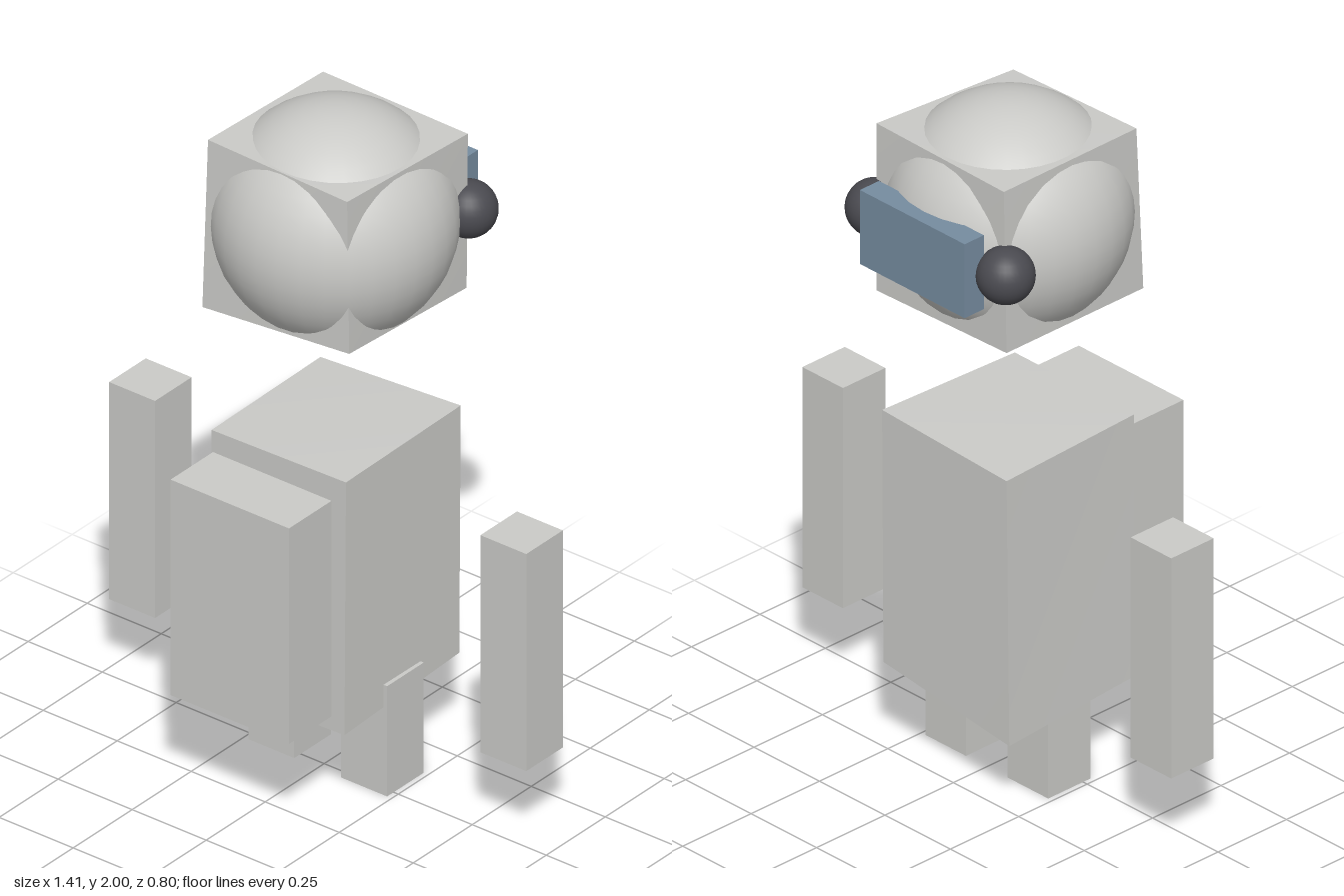
import * as THREE from 'three';

export function createModel() {
  const model = new THREE.Group();
  const material = (name, color) => {
    const m = new THREE.MeshStandardMaterial({ color });
    m.name = name;
    return m;
  };
  const grey = material('lightGrey', 0xcacac7);
  const blue = material('slateBlue', 0x768ca0);
  const dark = material('charcoal', 0x4a4a50);

  const add = (name, geometry, mat, x = 0, y = 0, z = 0) => {
    const mesh = new THREE.Mesh(geometry, mat);
    mesh.name = name;
    mesh.position.set(x, y, z);
    model.add(mesh);
    return mesh;
  };

  // Box given by its lower and upper limits
  const block = (name, mat, [x0, y0, z0], [x1, y1, z1]) =>
    add(name, new THREE.BoxGeometry(x1 - x0, y1 - y0, z1 - z0), mat,
      (x0 + x1) / 2, (y0 + y1) / 2, (z0 + z1) / 2);

  // Slightly crooked box: eight corners keyed front/back, top/bottom, left/right of the page
  const crookedBox = (name, mat, corners) => {
    const g = new THREE.BoxGeometry(1, 1, 1);
    const p = g.attributes.position;
    for (let i = 0; i < p.count; i++) {
      const key = (p.getZ(i) > 0 ? 'F' : 'B') + (p.getY(i) > 0 ? 'T' : 'B') + (p.getX(i) > 0 ? 'R' : 'L');
      p.setXYZ(i, ...corners[key]);
    }
    g.computeVertexNormals();
    return add(name, g, mat);
  };

  // Head: a ball bulging through a crooked cube
  add('headBall', new THREE.SphereGeometry(0.333, 32, 24), grey, 0, 1.667, -0.045);
  crookedBox('headCube', grey, {
    FTL: [-0.245, 1.92, 0.185], FTR: [0.225, 1.905, 0.185],
    BTL: [-0.235, 1.91, -0.29], BTR: [0.262, 1.91, -0.28],
    FBL: [-0.24, 1.42, 0.215], FBR: [0.228, 1.435, 0.18],
    BBL: [-0.24, 1.42, -0.285], BBR: [0.242, 1.418, -0.3],
  });

  // Headgear behind the head
  block('headPack', blue, [-0.2, 1.555, -0.4], [0.2, 1.78, -0.33]);

  // Torso and chest plate
  crookedBox('torso', grey, {
    FTL: [-0.225, 1.037, 0.195], FTR: [0.225, 1.042, 0.19],
    BTL: [-0.24, 1.03, -0.285], BTR: [0.23, 1.055, -0.29],
    FBL: [-0.237, 0.25, 0.19], FBR: [0.22, 0.26, 0.19],
    BBL: [-0.24, 0.22, -0.275], BBR: [0.225, 0.29, -0.29],
  });
  block('chestPlate', grey, [-0.2, 0.325, 0.22], [0.2, 0.99, 0.4]);

  // Mirrored ear balls, arms and legs
  for (const [side, s] of [['left', 1], ['right', -1]]) {
    add(side + 'EarBall', new THREE.SphereGeometry(0.08, 32, 16), dark, s * 0.25, 1.667, -0.298);
    add(side + 'Arm', new THREE.BoxGeometry(0.155, 0.67, 0.155), grey, s * 0.627, 0.59, -0.05);
    add(side + 'Leg', new THREE.BoxGeometry(0.155, 0.34, 0.155), grey, s * 0.157, 0.17, -0.05);
  }

  return model;
}
